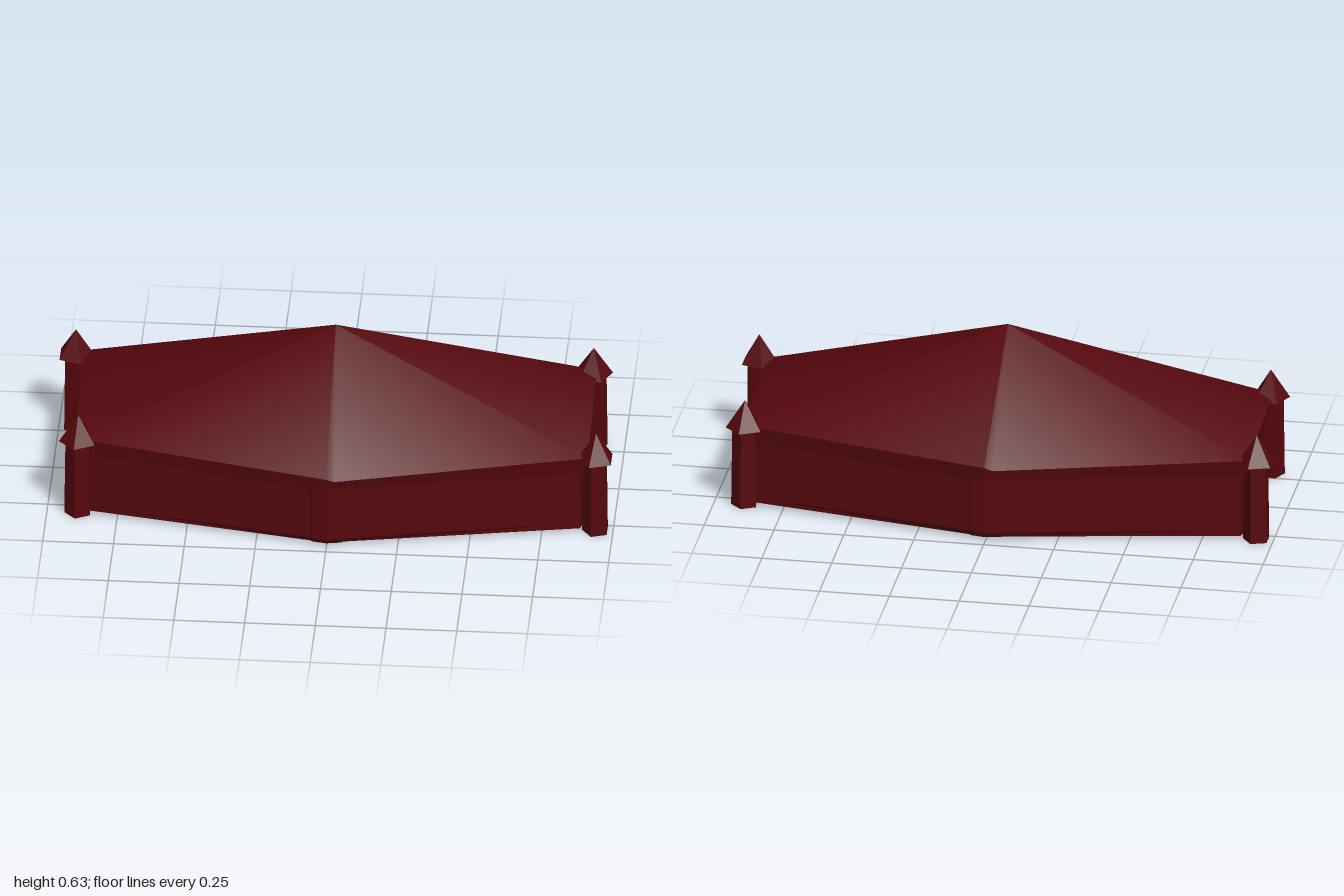
import * as THREE from 'three';
import { toCreasedNormals } from 'three/addons/utils/BufferGeometryUtils.js';

const cloth = new THREE.MeshStandardMaterial({ color: 0x55070d, side: THREE.DoubleSide });
const wood = new THREE.MeshStandardMaterial({ color: 0x55070d, flatShading: true });

function clothMesh(name, points, index, crease) {
  const geo = new THREE.BufferGeometry();
  geo.setAttribute('position', new THREE.Float32BufferAttribute(points.flat(), 3));
  geo.setIndex(index);
  const mesh = new THREE.Mesh(toCreasedNormals(geo, crease), cloth);
  mesh.name = name;
  return mesh;
}

// Sheet of cloth lofted through rows of points, listed from bottom to top
function sheet(name, rows, crease) {
  const n = rows[0].length, index = [];
  for (let r = 0; r < rows.length - 1; r++) {
    for (let c = 0; c < n - 1; c++) {
      const a = r * n + c, b = a + n;
      index.push(a, a + 1, b + 1, a, b + 1, b);
    }
  }
  return clothMesh(name, rows.flat(), index, crease);
}

// Five-sided corner post with a pointed cap
function cornerPost(x, z, turn) {
  const post = new THREE.Group();
  post.name = 'cornerPost';
  const shaft = new THREE.Mesh(new THREE.CylinderGeometry(0.045, 0.049, 0.3, 5), wood);
  shaft.name = 'postShaft';
  shaft.position.y = 0.15;
  const cap = new THREE.Mesh(new THREE.ConeGeometry(0.068, 0.105, 5), wood);
  cap.name = 'postCap';
  cap.position.y = 0.347;
  post.add(shaft, cap);
  post.position.set(x, 0, z);
  post.rotation.y = turn;
  return post;
}

function tentHalf() {
  const half = new THREE.Group();
  half.name = 'tentHalf';

  // Roof half: a fan from the peak, sagging slightly beside the middle ridge
  const eave = [[0, 0.29, 0.488], [0.03, 0.276, 0.478], [0.912, 0.305, 0.3],
    [0.9, 0.305, -0.3], [0, 0.29, -0.488]];
  const fan = eave.slice(1).flatMap((_, i) => [0, i + 1, i + 2]);
  half.add(clothMesh('roof', [[0, 0.634, 0], ...eave], fan, 1.2));

  // Valance hanging under the eave
  const hang = (scale, part) => eave.map(([x, y, z]) =>
    [x * scale, y + ((x > 0.5 ? 0.22 : 0.238) - y) * part, z * scale]);
  half.add(sheet('valance', [hang(0.98, 1), hang(0.99, 0.5), eave], 0.3));

  // Long side walls with a narrow seam beside the middle
  for (const s of [1, -1]) {
    const line = (y, top, inset) => [
      [0, y, s * (0.479 - inset)], [0.05, y, s * (0.47 - inset)],
      [0.06, y, s * (0.462 - inset)], [0.885, top, s * 0.3]];
    half.add(sheet('sideWall', [
      line(0.015, 0.015, 0.012), line(0.035, 0.035, 0), line(0.245, 0.24, 0)], 0.4));
  }

  // End wall: one straight panel, one flap pulled outward into a sharp fold
  const levels = [0.015, 0.07, 0.125, 0.18, 0.24];
  const gap = y => 0.03 * Math.max(0, 1 - (y - 0.015) / 0.165);
  half.add(sheet('doorPanel', levels.map(y =>
    [[0.885, y, -gap(y)], [0.885, y, -0.15], [0.885, y, -0.3]]), 0.7));
  const folds = [[0.3, 0], [0.25, 0.01], [0.11, 0.058], [0.085, 0.02], [0, -0.025]];
  half.add(sheet('doorFlap', levels.map(y => {
    const pull = Math.max(0, 1 - (y - 0.015) / 0.2);
    return folds.map(([z, out]) => [0.885 + out * pull, y, Math.max(z, gap(y))]);
  }), 0.7));

  half.add(cornerPost(0.94, 0.285, -Math.PI / 2), cornerPost(0.89, -0.292, 2.98));
  return half;
}

export function createModel() {
  const tent = new THREE.Group();
  tent.name = 'tent';
  // The two halves match under a half turn
  for (const turn of [0, Math.PI]) {
    const half = tentHalf();
    half.rotation.y = turn;
    tent.add(half);
  }
  return tent;
}
